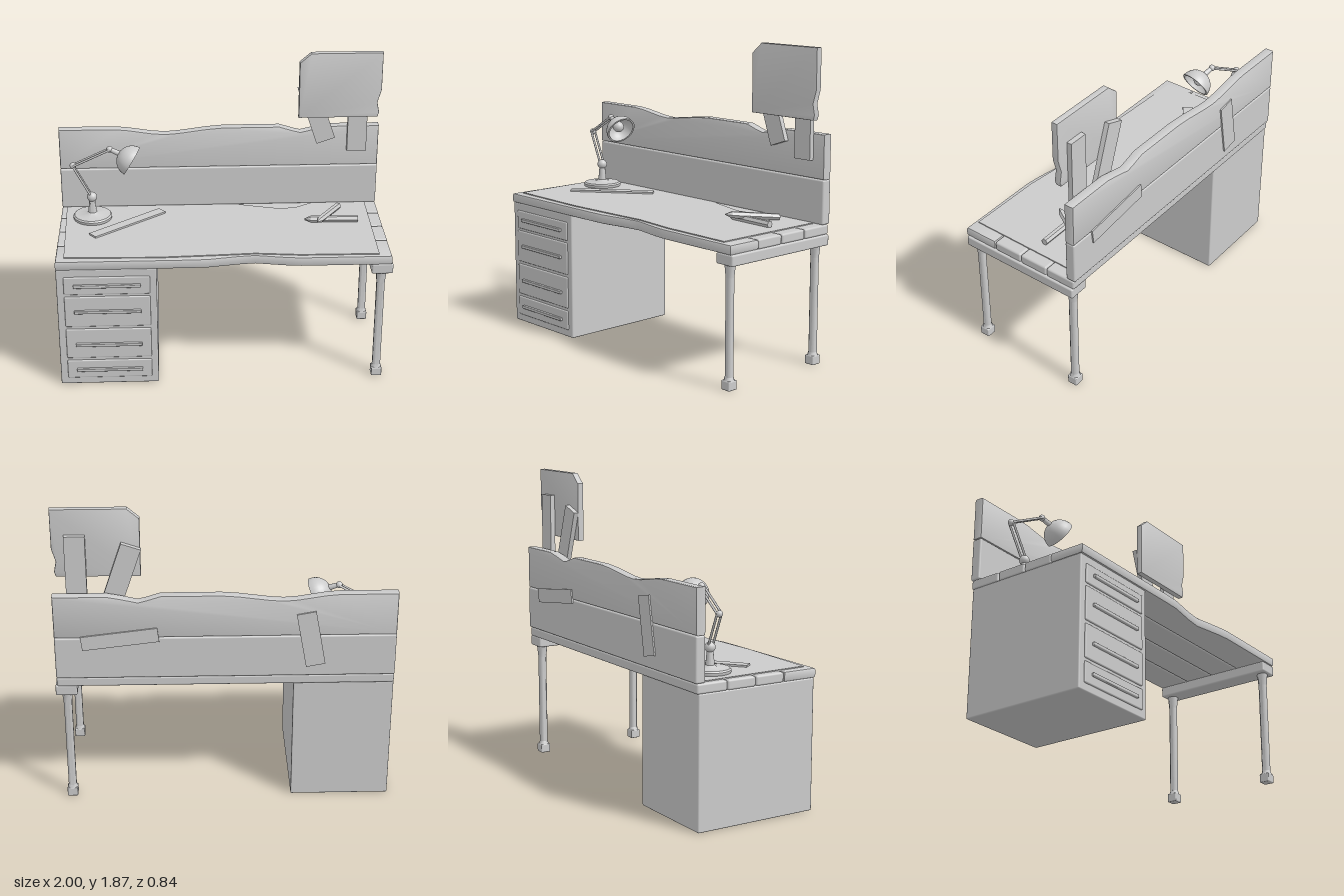
import * as THREE from 'three';
import { RoundedBoxGeometry } from 'three/addons/geometries/RoundedBoxGeometry.js';
import { toCreasedNormals } from 'three/addons/utils/BufferGeometryUtils.js';

const grey = new THREE.MeshStandardMaterial({ color: 0xcccccc });
const greyTwoSided = new THREE.MeshStandardMaterial({ color: 0xcccccc, side: THREE.DoubleSide });

export function createModel() {
  const model = new THREE.Group();

  const add = (name, geometry, pos = [0, 0, 0], parent = model, material = grey) => {
    const mesh = new THREE.Mesh(geometry, material);
    mesh.name = name;
    mesh.position.set(...pos);
    parent.add(mesh);
    return mesh;
  };

  // Softly rounded box given by its lower and upper bounds
  const block = (name, [x0, x1], [y0, y1], [z0, z1], r = 0.008, parent = model) =>
    add(name, new RoundedBoxGeometry(x1 - x0, y1 - y0, z1 - z0, 2, r),
      [(x0 + x1) / 2, (y0 + y1) / 2, (z0 + z1) / 2], parent);

  // Outline extruded along z between z0 and z1, with bevelled edges kept inside it
  const slab = (points, z0, z1, bevel) => {
    const g = new THREE.ExtrudeGeometry(new THREE.Shape(points.map(p => new THREE.Vector2(...p))), {
      depth: z1 - z0 - 2 * bevel, bevelEnabled: bevel > 0, bevelThickness: bevel,
      bevelSize: bevel, bevelOffset: -bevel, bevelSegments: 2, curveSegments: 6,
    });
    g.translate(0, 0, z0 + bevel);
    return toCreasedNormals(g, 0.7);
  };

  // Same, but the outline is (x, z) and the thickness runs upward
  const flatSlab = (points, y0, y1, bevel) =>
    slab(points.map(([x, z]) => [x, -z]), y0, y1, bevel).rotateX(-Math.PI / 2);

  // Cylinder between two points
  const rod = (name, a, b, r0, r1 = r0, sides = 10, parent = model) => {
    const from = new THREE.Vector3(...a), dir = new THREE.Vector3(...b).sub(from);
    const g = new THREE.CylinderGeometry(r1, r0, dir.length(), sides);
    const mesh = add(name, g, from.clone().addScaledVector(dir, 0.5).toArray(), parent);
    mesh.quaternion.setFromUnitVectors(new THREE.Vector3(0, 1, 0), dir.normalize());
    return mesh;
  };

  // Desk top: three straight planks and a front plank with a worn edge
  [[-0.4, -0.202], [-0.198, -0.012], [-0.008, 0.18]].forEach((z, i) =>
    block('topPlank' + (i + 1), [-1, 0.99], [0.783, 0.842], z, 0.012));
  add('frontPlank', flatSlab([[-1, 0.184], [0.99, 0.184], [0.99, 0.4], [0.45, 0.4], [0.36, 0.39],
    [0.18, 0.357], [0.08, 0.367], [-0.1, 0.397], [-0.2, 0.4], [-1, 0.4]], 0.783, 0.842, 0.012));

  // Thin desk mat with a notched back edge
  add('deskMat', flatSlab([[-0.97, -0.345], [0.1, -0.345], [0.16, -0.325], [0.38, -0.265], [0.48, -0.283],
    [0.58, -0.345], [0.92, -0.345], [0.915, 0.375], [0.45, 0.37], [0.18, 0.342], [0, 0.352],
    [-0.4, 0.37], [-0.95, 0.352]], 0.838, 0.848, 0));

  // Side rail and two legs
  block('sideRail', [0.872, 1], [0.72, 0.785], [-0.395, 0.395], 0.01);
  for (const side of [1, -1]) {
    const leg = new THREE.Group();
    leg.name = side > 0 ? 'frontLeg' : 'backLeg';
    leg.position.set(0.935, 0, side * 0.347);
    block('foot', [-0.032, 0.032], [0, 0.055], [-0.032, 0.032], 0.006, leg);
    const turn = (name, y, h, top, bottom) => {
      const g = new THREE.CylinderGeometry(top, bottom, h, 8).rotateY(Math.PI / 8);
      add(name, toCreasedNormals(g, 0.9), [0, y, 0], leg);
    };
    turn('footTaper', 0.065, 0.024, 0.025, 0.033);
    turn('shaft', 0.375, 0.6, 0.026, 0.026);
    turn('topFlare', 0.685, 0.08, 0.034, 0.026);
    model.add(leg);
  }

  // Drawer cabinet
  block('cabinet', [-1, -0.405], [0, 0.785], [-0.39, 0.392], 0.008);
  [[0.62, 0.737, 0.68], [0.402, 0.605, 0.507], [0.185, 0.385, 0.28], [0.045, 0.168, 0.105]].forEach(([y0, y1, h], i) => {
    const drawer = new THREE.Group();
    drawer.name = 'drawer' + (i + 1);
    block('drawerFront', [-0.957, -0.445], [y0, y1], [0.36, 0.4], 0.008, drawer);
    block('handle', [-0.9, -0.5], [h - 0.01, h + 0.01], [0.39, 0.416], 0.005, drawer);
    model.add(drawer);
  });

  // Back panel: straight lower plank and wavy upper plank
  block('lowerBackPlank', [-1, 0.99], [0.843, 1.105], [-0.41, -0.347], 0.01);
  add('upperBackPlank', slab([[-1, 1.107], [0.99, 1.107], [0.99, 1.37], [0.68, 1.37], [0.6, 1.355],
    [0.5, 1.332], [0.455, 1.343], [0.37, 1.37], [0.02, 1.37], [-0.08, 1.362], [-0.26, 1.338], [-0.34, 1.332],
    [-0.42, 1.338], [-0.58, 1.363], [-0.66, 1.37], [-1, 1.37]], -0.41, -0.347, 0.01));

  // Repair boards on the rear of the panel
  const board = (name, [w, h, d], pos, angle) => {
    add(name, new THREE.BoxGeometry(w, h, d), pos).rotation.z = angle;
  };
  board('wideRepairBoard', [0.45, 0.088, 0.014], [0.61, 1.1, -0.412], -0.12);
  board('tallRepairBoard', [0.115, 0.345, 0.014], [-0.5, 1.085, -0.412], -0.18);

  // Sign panel on two posts
  add('signPanel', slab([[0.48, 1.455], [0.965, 1.455], [0.975, 1.485], [0.962, 1.55], [0.985, 1.63],
    [0.985, 1.87], [0.55, 1.87], [0.48, 1.81]], -0.315, -0.275, 0.006));
  board('straightPost', [0.12, 0.5, 0.03], [0.85, 1.465, -0.33], 0);
  board('tiltedPost', [0.12, 0.385, 0.03], [0.594, 1.468, -0.33], 0.33);

  // Desk lamp
  const lamp = new THREE.Group();
  lamp.name = 'lamp';
  model.add(lamp);
  const profile = [[0, 0], [0.115, 0], [0.12, 0.008], [0.12, 0.02], [0.112, 0.029], [0.04, 0.033],
    [0.026, 0.045], [0.02, 0.11], [0.018, 0.14]].map(p => new THREE.Vector2(...p));
  add('lampBase', toCreasedNormals(new THREE.LatheGeometry(profile, 28), 0.7), [-0.8, 0.845, -0.185], lamp);
  const joints = [[-0.8, 0.99, -0.185], [-0.91, 1.195, -0.2], [-0.68, 1.315, -0.165]];
  joints.forEach((p, i) => add('joint', new THREE.SphereGeometry([0.031, 0.02, 0.02][i], 16, 12), p, lamp));
  for (const s of [-0.015, 0.015]) {
    const shift = ([x, y, z]) => [x, y, z + s];
    rod('lowerArm', shift(joints[0]), shift(joints[1]), 0.007, 0.007, 8, lamp);
    rod('upperArm', shift(joints[1]), shift(joints[2]), 0.007, 0.007, 8, lamp);
  }
  rod('shadeLink', joints[2], [-0.61, 1.287, -0.148], 0.014, 0.018, 10, lamp);

  // Hollow dome shade: outer curve, rim, inner curve
  const dome = [];
  for (let i = 0; i <= 8; i++) {
    const a = (i / 8) * Math.PI / 2;
    dome.push(new THREE.Vector2(0.095 * Math.cos(a), 0.095 * Math.sin(a)));
  }
  const inner = dome.map(p => p.clone().multiplyScalar(0.88)).reverse();
  const shade = add('shade', toCreasedNormals(new THREE.LatheGeometry([...inner, ...dome], 28), 0.7),
    [-0.545, 1.247, -0.135], lamp, greyTwoSided);
  shade.quaternion.setFromUnitVectors(new THREE.Vector3(0, 1, 0), new THREE.Vector3(-0.85, 0.5, -0.15).normalize());
  add('bulb', new THREE.SphereGeometry(0.035, 16, 12), [-0.58, 1.267, -0.141], lamp);

  // Ruler lying on the mat
  add('ruler', new THREE.BoxGeometry(0.54, 0.012, 0.065), [-0.58, 0.853, -0.085]).rotation.y = 0.67;

  // Two pencils, one leaning over the other
  const pencil = (name, end, tip) => {
    const a = new THREE.Vector3(...end), b = new THREE.Vector3(...tip);
    const neck = b.clone().lerp(a, 0.12).toArray();
    const group = new THREE.Group();
    group.name = name;
    for (const part of [rod('body', end, neck, 0.021, 0.021, 6, group), rod('tip', neck, tip, 0.021, 0.004, 6, group)])
      part.geometry = toCreasedNormals(part.geometry, 0.6);
    model.add(group);
  };
  pencil('flatPencil', [0.84, 0.866, -0.065], [0.51, 0.868, -0.065]);
  pencil('leaningPencil', [0.74, 0.868, -0.25], [0.58, 0.898, 0.035]);

  return model;
}
